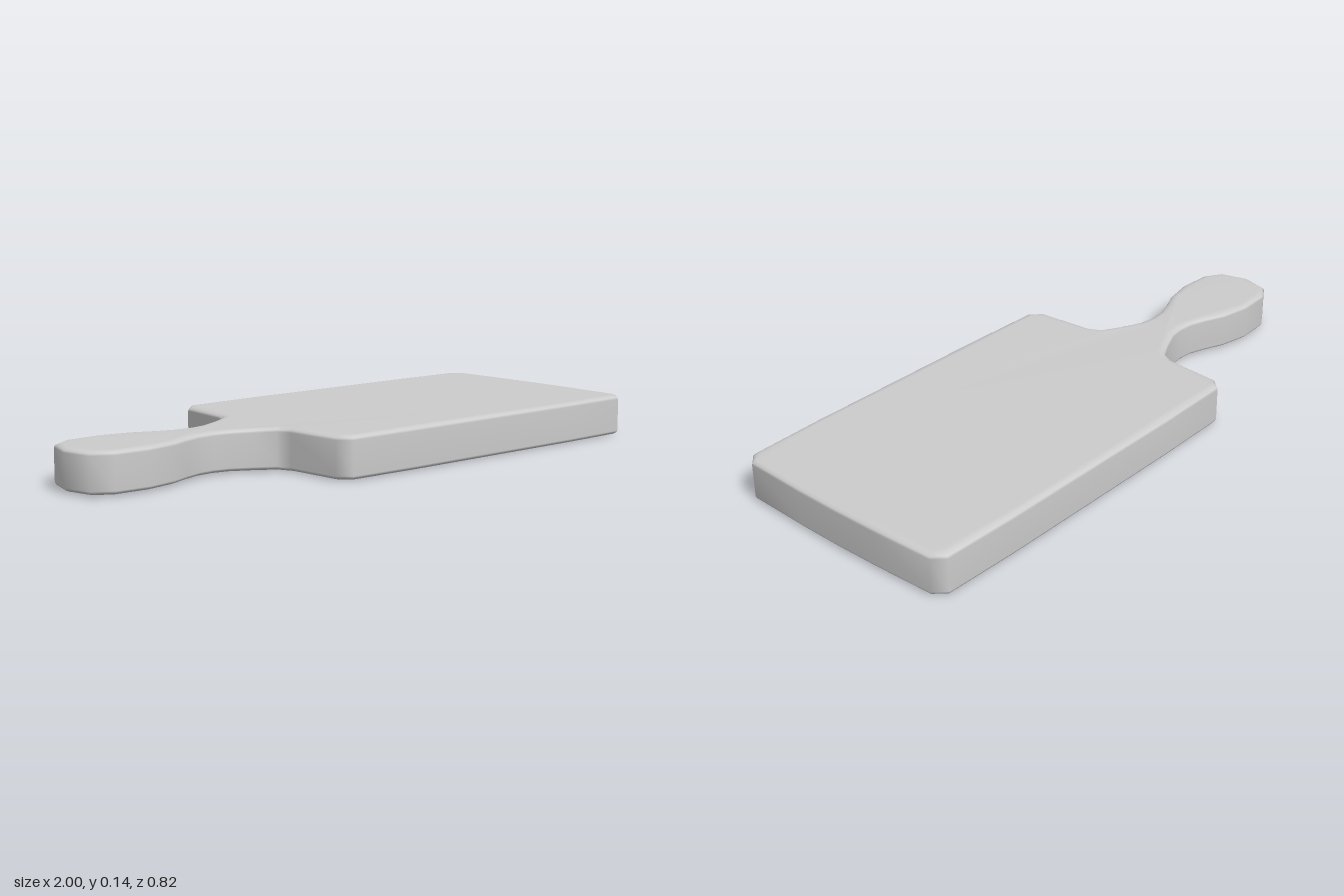
import * as THREE from 'three';
import { mergeVertices } from 'three/addons/utils/BufferGeometryUtils.js';

const HEIGHT = 0.136, BEVEL_H = 0.014, BEVEL_W = 0.026;

// Half outline from handle tip to far end: [x, half width]
const HALF = [
  [-1, 0], [-0.975, 0.093], [-0.915, 0.13], [-0.8, 0.136], [-0.7, 0.116],
  [-0.635, 0.088], [-0.575, 0.068], [-0.52, 0.064], [-0.47, 0.072], [-0.4, 0.103],
  [-0.338, 0.137], [-0.317, 0.18], [-0.302, 0.365], [-0.265, 0.403],
  [0, 0.408], [0.7, 0.408], [0.955, 0.402], [0.99, 0.365], [0.998, 0.15], [1, 0],
];

export function createModel() {
  const group = new THREE.Group();
  group.name = 'cuttingBoard';

  // Mirror the half outline into a closed, counter-clockwise shape
  const lower = HALF.map(([x, w]) => new THREE.Vector2(x, -w));
  const upper = HALF.slice(1, -1).reverse().map(([x, w]) => new THREE.Vector2(x, w));
  const shape = new THREE.Shape([...lower, ...upper]);

  let geo = new THREE.ExtrudeGeometry(shape, {
    depth: HEIGHT - 2 * BEVEL_H,
    bevelEnabled: true, bevelThickness: BEVEL_H, bevelSize: BEVEL_W,
    bevelOffset: -BEVEL_W, bevelSegments: 3, steps: 1,
  });
  geo.rotateX(-Math.PI / 2).translate(0, BEVEL_H, 0);

  // The handle is slightly thinner than the board
  const pos = geo.attributes.position;
  for (let i = 0; i < pos.count; i++) {
    const t = THREE.MathUtils.smoothstep(pos.getX(i), -0.55, -0.2);
    const k = THREE.MathUtils.lerp(0.94, 1, t);
    pos.setY(i, HEIGHT / 2 + (pos.getY(i) - HEIGHT / 2) * k);
  }

  // Weld for smooth shading over the rounded edges
  geo.deleteAttribute('normal');
  geo.deleteAttribute('uv');
  geo = mergeVertices(geo, 1e-5);
  geo.computeVertexNormals();

  const board = new THREE.Mesh(geo, new THREE.MeshStandardMaterial({ color: 0xcccccc }));
  board.name = 'boardWithHandle';
  group.add(board);
  return group;
}
